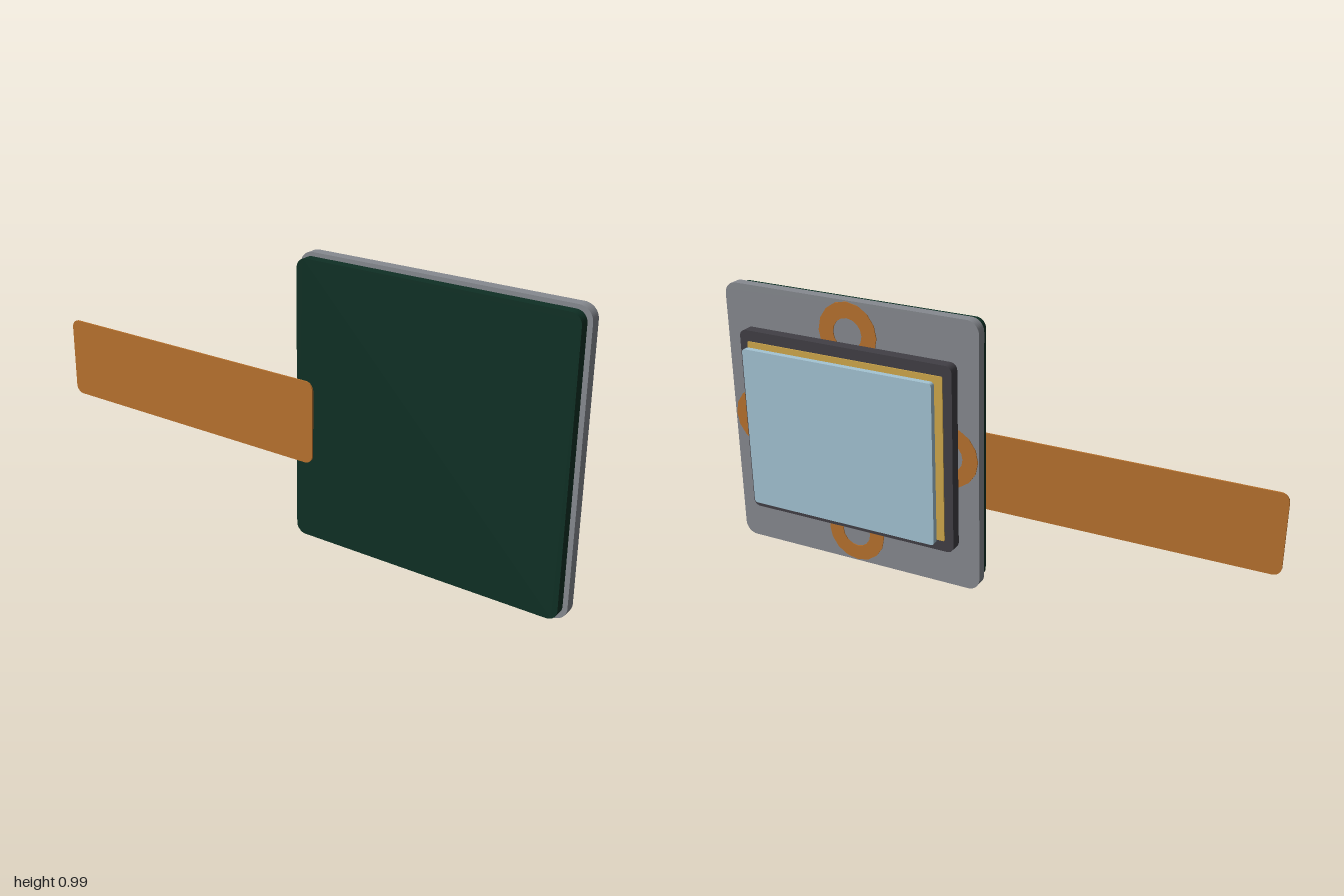
import * as THREE from 'three';

export function createModel() {
  const model = new THREE.Group();
  const mat = (name, color) => {
    const m = new THREE.MeshStandardMaterial({ color });
    m.name = name;
    return m;
  };
  const green = mat('board green', 0x0f3025);
  const grey = mat('plate grey', 0x878a90);
  const copper = mat('copper', 0xb8722e);
  const dark = mat('frame dark grey', 0x413f45);
  const gold = mat('gold', 0xd0a84b);
  const black = mat('sensor dark', 0x2c2c32);
  const glass = mat('glass blue', 0xa4c4d4);

  // Extrudes a shape from z0 to z1
  const extrude = (name, shape, z0, z1, material) => {
    const geo = new THREE.ExtrudeGeometry(shape, { depth: z1 - z0, bevelEnabled: false, curveSegments: 8 });
    const mesh = new THREE.Mesh(geo, material);
    mesh.name = name;
    mesh.position.z = z0;
    model.add(mesh);
    return mesh;
  };

  // Upright plate with rounded corners
  const plate = (name, x0, x1, y0, y1, z0, z1, r, material) => {
    const s = new THREE.Shape();
    s.moveTo(x0 + r, y0);
    s.lineTo(x1 - r, y0);
    s.absarc(x1 - r, y0 + r, r, -Math.PI / 2, 0);
    s.absarc(x1 - r, y1 - r, r, 0, Math.PI / 2);
    s.absarc(x0 + r, y1 - r, r, Math.PI / 2, Math.PI);
    s.absarc(x0 + r, y0 + r, r, Math.PI, Math.PI * 1.5);
    return extrude(name, s, z0, z1, material);
  };

  // Layers from front to back
  plate('flexCable', -1, 0.092, 0.284, 0.57, 0.086, 0.092, 0.03, copper);
  plate('circuitBoard', 0.026, 0.986, 0.016, 0.975, 0.051, 0.086, 0.035, green);
  plate('carrierPlate', 0.013, 1, 0, 0.987, 0.009, 0.046, 0.045, grey);
  plate('sensorFrame', 0.09, 0.92, 0.153, 0.837, -0.035, 0.005, 0.025, dark);
  plate('goldSubstrate', 0.123, 0.888, 0.194, 0.798, -0.039, -0.035, 0.005, gold);
  plate('imageSensor', 0.17, 0.841, 0.243, 0.749, -0.045, -0.039, 0.004, black);
  plate('filterGlass', 0.136, 0.874, 0.2, 0.79, -0.091, -0.07, 0.012, glass);

  // Flat coils on the plate's back and magnets behind the board, one per edge
  const cx = 0.506, cy = 0.494;
  for (let i = 0; i < 4; i++) {
    const a = i * Math.PI / 2, dx = Math.cos(a), dy = Math.sin(a);
    const ring = new THREE.Shape();
    ring.absarc(0, 0, 0.113, 0, Math.PI * 2);
    const hole = new THREE.Path();
    hole.absarc(0, 0, 0.056, 0, Math.PI * 2, true);
    ring.holes.push(hole);
    const coil = extrude('coil', ring, 0.006, 0.009, copper);
    coil.position.x = cx + 0.376 * dx;
    coil.position.y = cy + 0.376 * dy;

    const magnet = new THREE.Mesh(new THREE.CylinderGeometry(0.055, 0.055, 0.005, 32), dark);
    magnet.name = 'magnet';
    magnet.rotation.x = Math.PI / 2;
    magnet.position.set(cx + 0.415 * dx, cy + 0.415 * dy, 0.0485);
    model.add(magnet);
  }
  return model;
}
